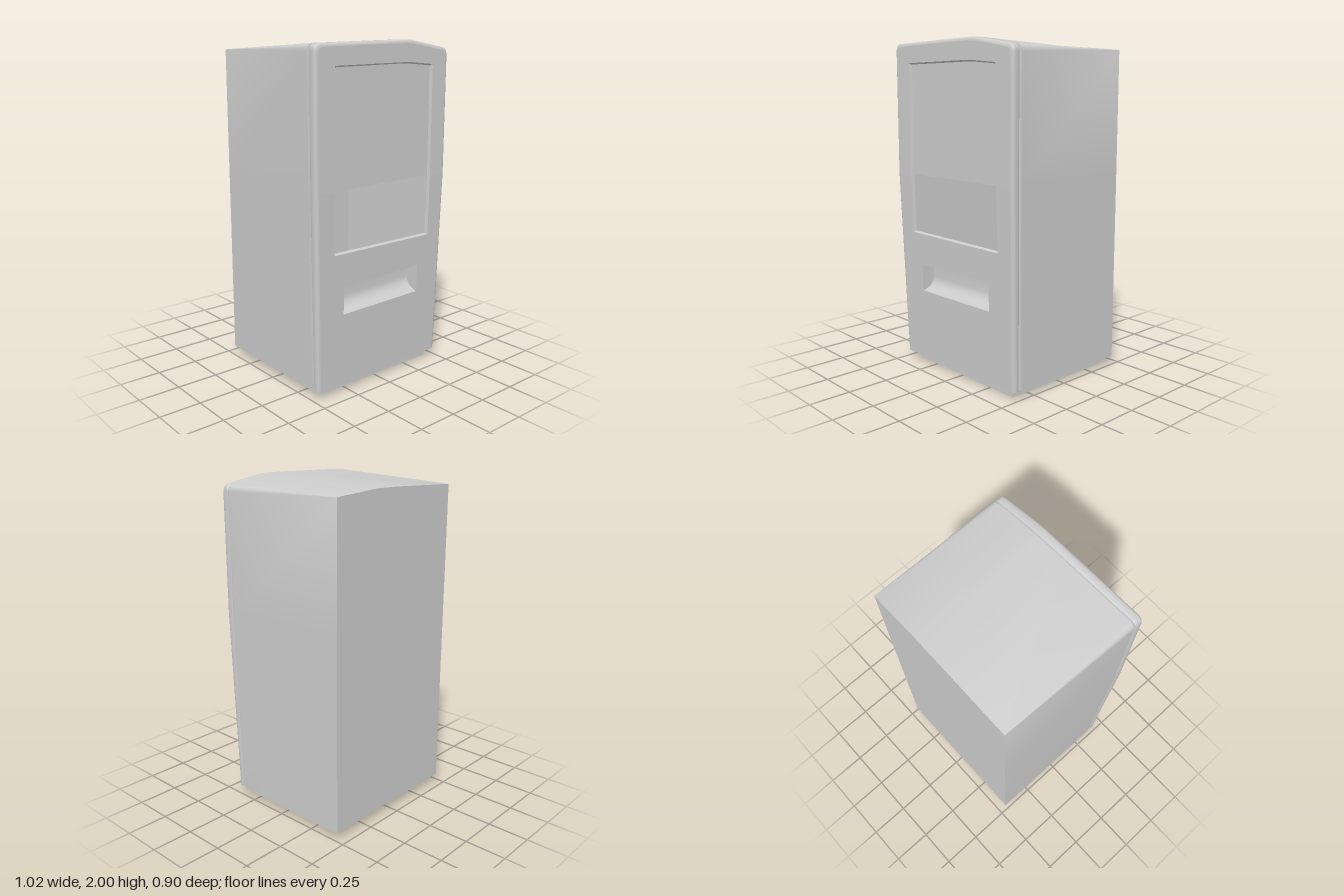
import * as THREE from 'three';
import { toCreasedNormals } from 'three/addons/utils/BufferGeometryUtils.js';

const material = new THREE.MeshStandardMaterial({ color: 0xcccccc, side: THREE.DoubleSide });
const BEND = 1.2; // height below which the front tapers and leans back

const lean = (y) => 0.027 * Math.max(0, BEND - y) / 1.15;
const frontZ = (x, y) => 0.436 - 0.022 * x - lean(y);
const seamZ = (x, y) => 0.362 + 0.028 * Math.max(0, 0.2 - x) - 0.6 * lean(y);

function addMesh(group, name, geometry) {
  const mesh = new THREE.Mesh(geometry, material);
  mesh.name = name;
  group.add(mesh);
}

// Skin through rings of [x, y, z] points
function loft(rings, crease = 0.6) {
  const n = rings[0].length, index = [];
  for (let i = 0; i < rings.length - 1; i++) {
    for (let j = 0; j < n - 1; j++) {
      const a = i * n + j, c = a + n;
      index.push(a, a + 1, c, a + 1, c + 1, c);
    }
  }
  const g = new THREE.BufferGeometry();
  g.setAttribute('position', new THREE.Float32BufferAttribute(rings.flat(2), 3));
  g.setIndex(index);
  return toCreasedNormals(g, crease);
}

const toShape = (pts) => new THREE.Shape(pts.map(([x, y]) => new THREE.Vector2(x, y)));

// Flat outline filled and laid onto the surface z = zAt(x, y)
function patch(pts, zAt, holes = [], flip = false) {
  const shape = toShape(pts);
  shape.holes = holes.map(toShape);
  const g = new THREE.ShapeGeometry(shape);
  const p = g.attributes.position;
  for (let i = 0; i < p.count; i++) p.setZ(i, zAt(p.getX(i), p.getY(i)));
  if (flip) g.index.array.reverse();
  g.computeVertexNormals();
  return g;
}

// Cabinet outline, anticlockwise from bottom right to bottom left
function outline({ right, left, rightLow, leftLow, yRight, yPeak, yLeft, r }) {
  const corner = (a, b, c) => new THREE.QuadraticBezierCurve(
    ...[a, b, c].map((p) => new THREE.Vector2(...p))).getPoints(6).map((p) => [p.x, p.y]);
  return [
    [rightLow, 0.05], [right, BEND],
    ...corner([right, yRight - r], [right, yRight], [right - r, yRight + r * 0.14]),
    [0.21, yPeak - 0.002], [0.16, yPeak], [0.0, yPeak - 0.003],
    ...corner([left + r, yLeft + r * 0.02], [left, yLeft], [left, yLeft - r]),
    [left, BEND], [leftLow, 0.05],
  ];
}

const inset = (pts, d) => pts.map(([x, y]) => [x * (1 - d / 0.5), y - d * Math.max(0, (y - BEND) / 0.8)]);
const onto = (pts, zAt) => pts.map(([x, y]) => [x, y, zAt(x, y)]);

export function createModel() {
  const group = new THREE.Group();
  group.name = 'vendingMachine';

  const back = outline({ right: 0.493, left: -0.481, rightLow: 0.491, leftLow: -0.481,
    yRight: 1.945, yPeak: 1.965, yLeft: 1.942, r: 0.003 });
  const front = outline({ right: 0.507, left: -0.512, rightLow: 0.491, leftLow: -0.481,
    yRight: 1.952, yPeak: 2.0, yLeft: 1.984, r: 0.04 });

  // Cabinet body with the lip that turns into the seam
  const groove = inset(front, 0.014);
  const bodyRings = [
    onto(back, () => -0.45),
    onto(front, seamZ),
    onto(groove, (x, y) => seamZ(x, y) + 0.004),
    onto(groove, (x, y) => seamZ(x, y) + 0.01),
  ];
  addMesh(group, 'cabinetBody', loft(bodyRings));
  addMesh(group, 'backPanel', patch(back, () => -0.45, [], true));

  // Door edge: small rear chamfer, then a rounded front
  const R = 0.02;
  const doorRings = [
    bodyRings[3],
    onto(inset(front, 0.004), (x, y) => seamZ(x, y) + 0.013),
    onto(front, (x, y) => seamZ(x, y) + 0.02),
  ];
  for (let i = 0; i <= 5; i++) {
    const a = (i / 5) * Math.PI / 2;
    doorRings.push(onto(inset(front, R * (1 - Math.cos(a))),
      (x, y) => frontZ(x, y) - R * (1 - Math.sin(a))));
  }
  addMesh(group, 'doorEdge', loft(doorRings));

  // Door face, in two flat pieces meeting at the bend, around window and tray
  const face = inset(front, R);
  const win = [[0.38, 0.832], [0.379, BEND], [0.376, 1.86], [0.2, 1.874], [0.13, 1.876],
    [-0.38, 1.868], [-0.379, BEND], [-0.375, 0.843]];
  const upper = (pts) => pts.filter((p) => p[1] >= BEND);
  const trayHole = [[-0.3, 0.482], [-0.3, 0.65], [0.3, 0.65], [0.3, 0.482]];
  addMesh(group, 'doorFaceUpper', patch([...upper(face), ...upper(win).reverse()], frontZ));
  const [f, w] = [face, win].map((pts) => pts.filter((p) => p[1] <= BEND));
  addMesh(group, 'doorFaceLower',
    patch([f[0], f[1], w[1], w[0], w[3], w[2], f[2], f[3]], frontZ, [trayHole]));

  // Recessed window
  const pane = win.map(([x, y]) => [x * 0.98, 1.35 + (y - 1.35) * 0.985]);
  const paneZ = (x, y) => frontZ(x, y) - 0.018;
  const closed = (pts) => [...pts, pts[0]];
  addMesh(group, 'windowFrame', loft([onto(closed(win), frontZ), onto(closed(pane), paneZ)]));
  addMesh(group, 'windowPaneUpper', patch(upper(pane), paneZ));
  addMesh(group, 'windowPaneLower', patch(pane.filter((p) => p[1] <= BEND), paneZ));

  // Collection tray with a scooped floor, [depth, height] profile
  const tray = [[0, 0.65], [0.085, 0.65], [0.085, 0.56], [0.08, 0.535], [0.066, 0.513],
    [0.045, 0.497], [0.022, 0.487], [0, 0.482]];
  const trayRing = (x) => tray.map(([d, y]) => [x, y, frontZ(x, y) - d]);
  const trayEnd = (x) => tray.map(() => [x, 0.57, frontZ(x, 0.57)]);
  addMesh(group, 'collectionTray', loft([trayEnd(-0.3), trayRing(-0.3), trayRing(0.3), trayEnd(0.3)]));

  // Underside rim and hollow plinth
  const rect = (x0, x1, z0, z1) => [[x0, z0], [x1, z0], [x1, z1], [x0, z1]];
  const inner = rect(-0.4, 0.425, -0.375, 0.345);
  const rings = [...bodyRings, ...doorRings.slice(1)];
  const xz = (p) => [p[0], p[2]];
  const rim = [...rings.map((r) => xz(r[0])), ...rings.map((r) => xz(r[r.length - 1])).reverse()];
  const under = patch(rim, () => 0, [inner]).rotateX(Math.PI / 2).translate(0, 0.05, 0);
  addMesh(group, 'undersideRim', under);

  const plinth = toShape(rect(-0.415, 0.44, -0.39, 0.36));
  plinth.holes.push(toShape(inner));
  addMesh(group, 'plinth', new THREE.ExtrudeGeometry(plinth, { depth: 0.05, bevelEnabled: false })
    .rotateX(Math.PI / 2).translate(0, 0.05, 0));

  return group;
}
